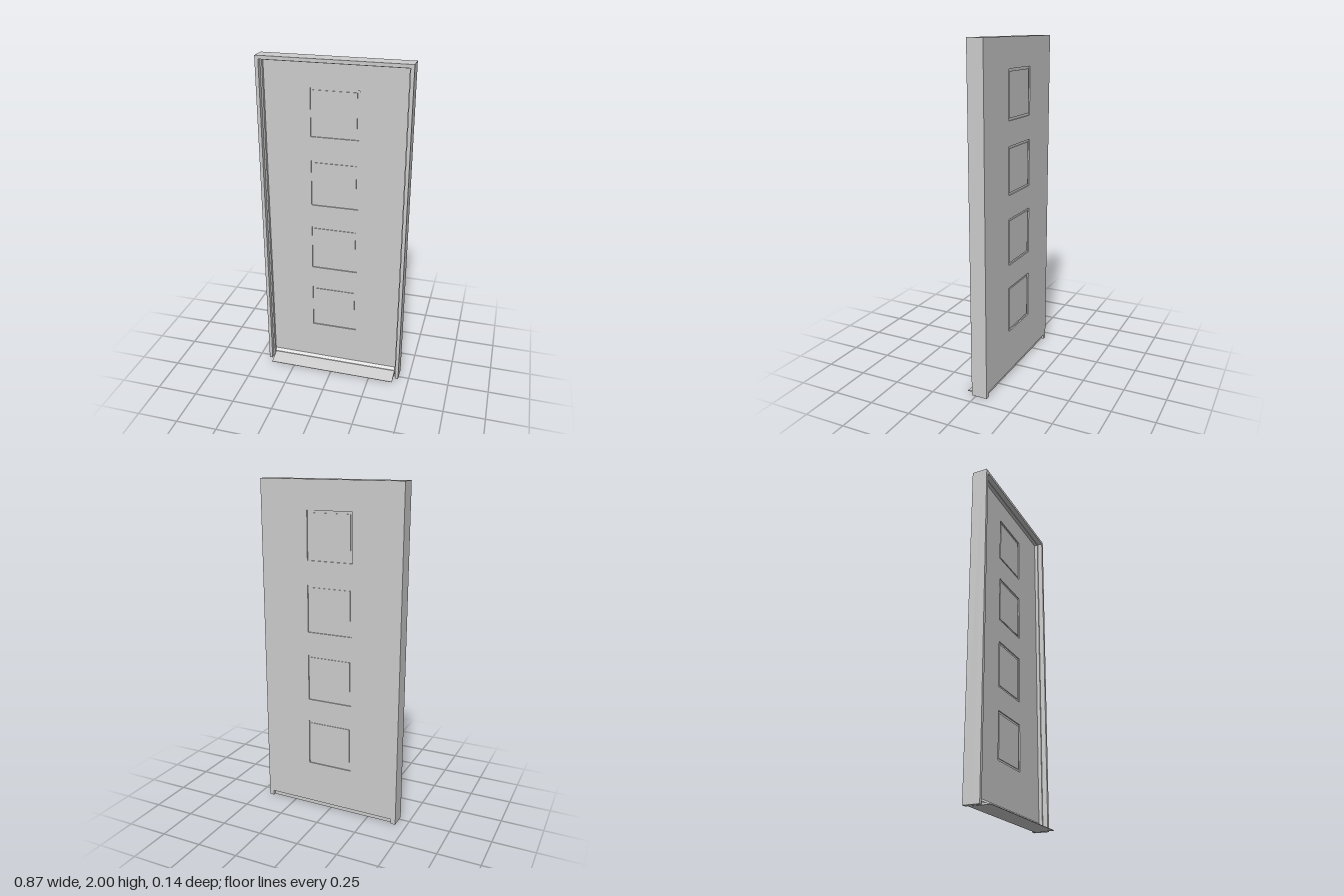
import * as THREE from 'three';

const material = new THREE.MeshStandardMaterial({ color: 0xcccccc, flatShading: true });

function add(parent, name, geometry, x = 0, y = 0, z = 0) {
  const mesh = new THREE.Mesh(geometry, material);
  mesh.name = name;
  mesh.position.set(x, y, z);
  parent.add(mesh);
  return mesh;
}

// Extrudes a polygon between two z planes, with optional polygon holes
function slab(points, z0, z1, holes = []) {
  const toVectors = (list) => list.map(([x, y]) => new THREE.Vector2(x, y));
  const shape = new THREE.Shape(toVectors(points));
  for (const hole of holes) shape.holes.push(new THREE.Path(toVectors(hole)));
  const geometry = new THREE.ExtrudeGeometry(shape, { depth: z1 - z0, bevelEnabled: false });
  return geometry.translate(0, 0, z0);
}

const rect = (halfW, y0, y1) => [[-halfW, y0], [halfW, y0], [halfW, y1], [-halfW, y1]];

// Upside-down U of two jambs and a head
const arch = (outer, top, inner, innerTop) => [
  [-outer, 0], [-inner, 0], [-inner, innerTop], [inner, innerTop],
  [inner, 0], [outer, 0], [outer, top], [-outer, top],
];

// Extrudes a (z, y) profile across the width
function bar(profile, width) {
  const geometry = slab(profile.map(([z, y]) => [-z, y]), -width / 2, width / 2);
  return geometry.rotateY(Math.PI / 2);
}

export function createModel() {
  const door = new THREE.Group();
  door.name = 'door';
  const back = -0.07, front = 0.025, leafFront = -0.026;

  // Frame with a stepped rebate
  const frame = new THREE.Group();
  frame.name = 'frame';
  door.add(frame);
  add(frame, 'frameFront', slab(arch(0.435, 2, 0.415, 1.98), -0.005, front));
  add(frame, 'frameBack', slab(arch(0.435, 2, 0.406, 1.972), back, -0.005));

  // Leaf with four square openings
  const leaf = new THREE.Group();
  leaf.name = 'leaf';
  door.add(leaf);
  const half = 0.14, trim = 0.013;
  const centres = [0.43, 0.85, 1.27, 1.692];
  const openings = centres.map((y) => rect(half, y - half, y + half));
  add(leaf, 'leafPanel', slab(rect(0.406, 0.03, 1.972), back, leafFront, openings));

  // Recessed trim and pane in each opening
  for (const y of centres) {
    const inner = half - trim;
    add(leaf, 'windowTrim', slab(rect(half, -half, half), back + 0.007, leafFront - 0.007,
      [rect(inner, -inner, inner)]), 0, y);
    add(leaf, 'windowPane', slab(rect(inner, -inner, inner), back + 0.003, leafFront - 0.003), 0, y);
  }

  // Sloped weather bar at the foot of the leaf
  add(leaf, 'weatherBar', bar(
    [[leafFront, 0.03], [-0.012, 0.03], [-0.012, 0.034], [leafFront, 0.05]], 0.806));

  // Threshold with a projecting sloped lip
  add(door, 'threshold', bar(
    [[-0.055, 0], [0.068, 0], [0.068, 0.003], [front, 0.014], [-0.02, 0.025], [-0.055, 0.025]], 0.806));

  return door;
}
